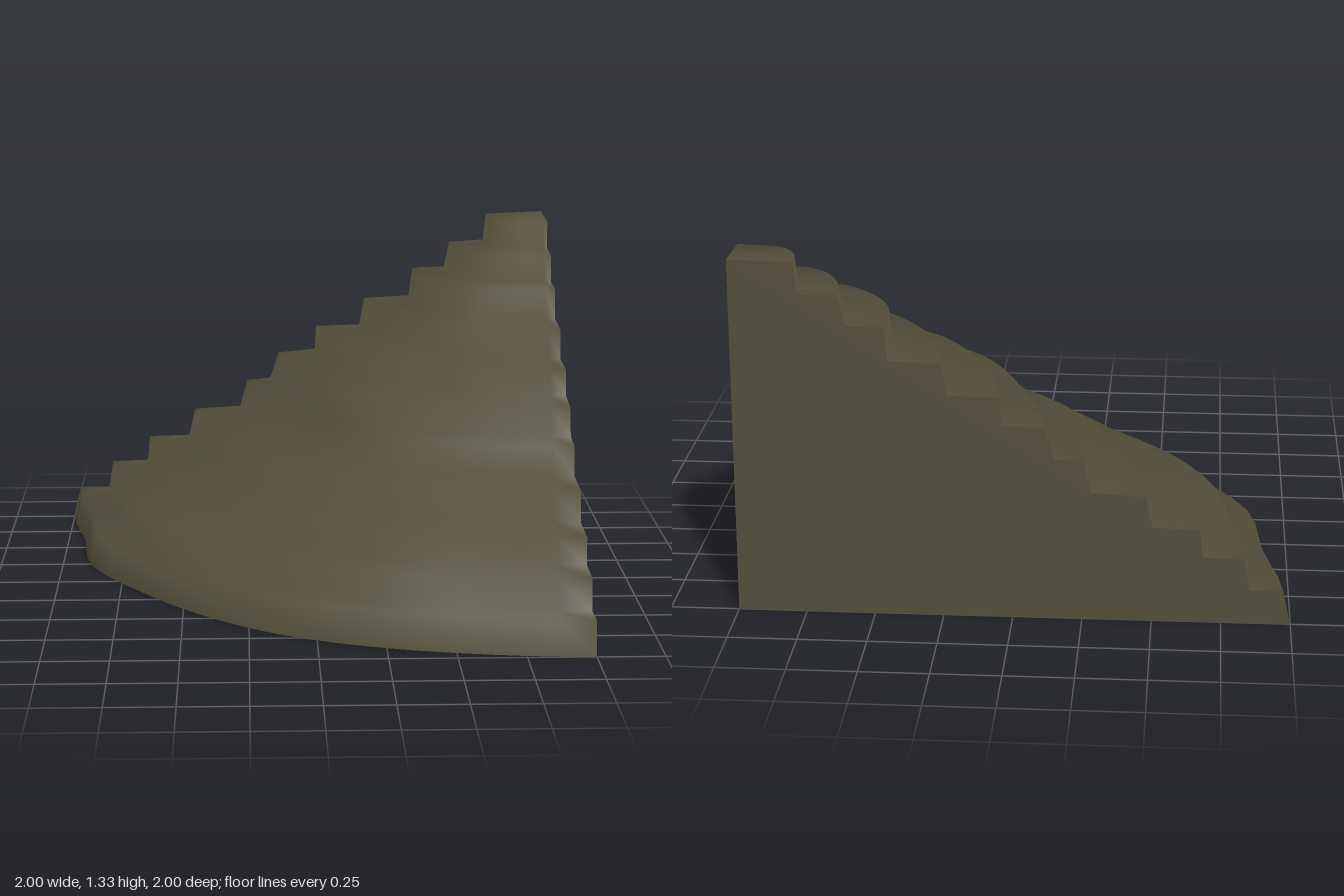
import * as THREE from 'three';

// One row per terrace: foot height, lip height, lip setback,
// then foot radii at nine even angles from the left end to the front end.
const TIERS = [
  [0, 0.13, 0.03, [2.0, 1.97, 2.035, 2.025, 2.04, 2.05, 2.025, 2.0, 2.0]],
  [0.125, 0.245, 0.02, [1.85, 1.84, 1.885, 1.9, 1.89, 1.905, 1.9, 1.86, 1.85]],
  [0.25, 0.355, 0.01, [1.68, 1.66, 1.66, 1.675, 1.7, 1.73, 1.75, 1.69, 1.68]],
  [0.36, 0.475, 0.025, [1.5, 1.48, 1.48, 1.5, 1.52, 1.535, 1.54, 1.5, 1.49]],
  [0.487, 0.6, 0.03, [1.28, 1.27, 1.27, 1.28, 1.32, 1.34, 1.32, 1.29, 1.28]],
  [0.61, 0.72, 0.035, [1.15, 1.13, 1.13, 1.16, 1.2, 1.2, 1.175, 1.15, 1.14]],
  [0.735, 0.835, 0.005, [0.96, 0.95, 0.95, 0.96, 0.98, 0.98, 0.99, 0.97, 0.96]],
  [0.84, 0.955, 0.02, [0.77, 0.76, 0.77, 0.78, 0.79, 0.8, 0.79, 0.77, 0.77]],
  [0.965, 1.085, 0.015, [0.56, 0.57, 0.6, 0.62, 0.63, 0.635, 0.6, 0.57, 0.56]],
  [1.09, 1.195, 0.02, [0.41, 0.4, 0.42, 0.435, 0.45, 0.45, 0.43, 0.41, 0.41]],
  [1.205, 1.315, 0.01, [0.245, 0.24, 0.255, 0.265, 0.27, 0.265, 0.25, 0.24, 0.245]],
];
const SUMMIT = 1.325;
const SEGMENTS = 24;

// Rings of [radius, height] sweeping a quarter turn, from the base to the summit
function makeRings() {
  const rings = [];
  for (const [foot, lip, setback, radii] of TIERS) {
    const curve = new THREE.SplineCurve(radii.map((r, i) => new THREE.Vector2(i, r)));
    const row = Array.from({ length: SEGMENTS + 1 }, (_, j) => curve.getPoint(j / SEGMENTS).y);
    rings.push(row.map((r) => [r, foot]));
    rings.push(row.map((r) => [r - setback, lip]));
  }
  rings.push(Array.from({ length: SEGMENTS + 1 }, () => [0, SUMMIT]));
  return rings;
}

// Stepped skin joining the rings, around the corner at x = 1, z = -1
function terraceGeometry(rings) {
  const positions = [];
  const index = [];
  const stride = SEGMENTS + 1;
  rings.forEach((ring, i) => {
    ring.forEach(([r, y], j) => {
      const a = (j / SEGMENTS) * Math.PI / 2;
      positions.push(1 - r * Math.cos(a), y, -1 + r * Math.sin(a));
      if (i === rings.length - 1 || j === SEGMENTS) return;
      const p = i * stride + j;
      const q = p + stride;
      index.push(p, p + 1, q);
      if (i < rings.length - 2) index.push(p + 1, q + 1, q);
    });
  });
  const geometry = new THREE.BufferGeometry();
  geometry.setAttribute('position', new THREE.Float32BufferAttribute(positions, 3));
  geometry.setIndex(index);
  geometry.computeVertexNormals();
  return geometry;
}

// Flat cut face following the stepped profile at one end of the sweep
function wallGeometry(rings, column, side) {
  const points = rings.map((ring) => new THREE.Vector2(side * ring[column][0], ring[column][1]));
  points.push(new THREE.Vector2(0, 0));
  return new THREE.ShapeGeometry(new THREE.Shape(points));
}

export function createModel() {
  const group = new THREE.Group();
  group.name = 'terracedHillQuarter';
  const earth = new THREE.MeshStandardMaterial({ color: 0x544f3b, side: THREE.DoubleSide });
  earth.name = 'olive earth';
  const rings = makeRings();

  const add = (name, geometry) => {
    const mesh = new THREE.Mesh(geometry, earth);
    mesh.name = name;
    group.add(mesh);
    return mesh;
  };

  add('terraces', terraceGeometry(rings));

  const backWall = add('backWall', wallGeometry(rings, 0, 1));
  backWall.rotation.y = Math.PI;
  backWall.position.set(1, 0, -1);

  const sideWall = add('sideWall', wallGeometry(rings, SEGMENTS, -1));
  sideWall.rotation.y = Math.PI / 2;
  sideWall.position.set(1, 0, -1);

  return group;
}
